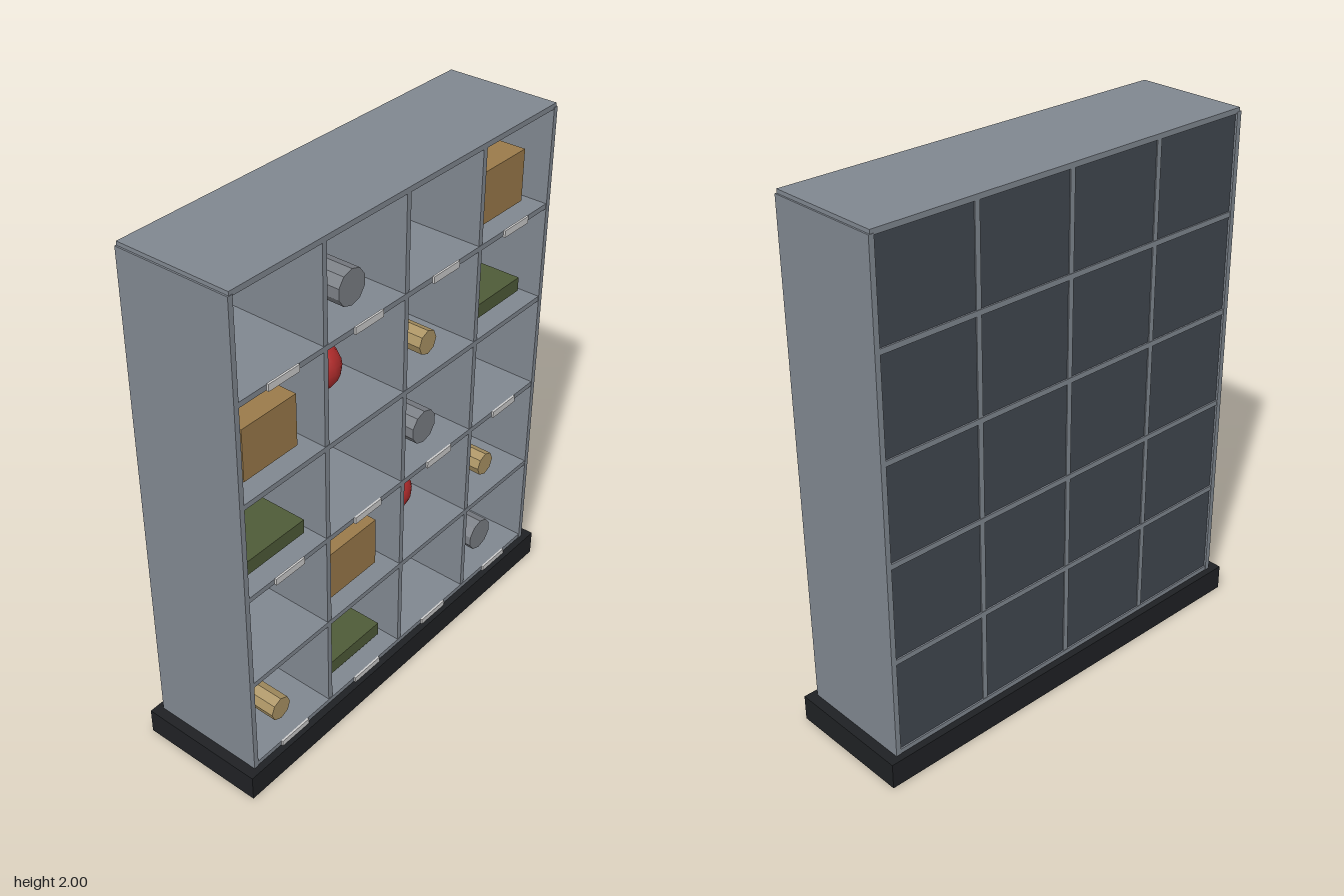
import * as THREE from 'three';

const COLS = 4, ROWS = 5;
const PITCH_X = 0.398, PITCH_Y = 0.377, FLOOR = 0.108;
const DEPTH = 0.44, BOARD = 0.02;

const mat = (color, flatShading = false) => new THREE.MeshStandardMaterial({ color, flatShading });
const steel = mat(0x808790), panel = mat(0x414750), plinth = mat(0x1f2124), label = mat(0xcdd1d1);
const card = mat(0x9a7a4a), red = mat(0xb32d2d), green = mat(0x4f5b38);
const wood = mat(0xab9464, true), pipe = mat(0x7b7f85, true);

const colX = c => (c - (COLS - 1) / 2) * PITCH_X;
const shelfY = r => FLOOR + r * PITCH_Y;

function add(parent, name, geometry, material, x, y, z) {
  const mesh = new THREE.Mesh(geometry, material);
  mesh.name = name;
  mesh.position.set(x, y, z);
  parent.add(mesh);
  return mesh;
}
const box = (w, h, d) => new THREE.BoxGeometry(w, h, d);
const rod = (r, sides, length) => new THREE.CylinderGeometry(r, r, length, sides).rotateX(Math.PI / 2);

// Stored goods: geometry, material and height of the centre above the shelf
const goods = {
  carton: [box(0.246, 0.197, 0.32), card, 0.127],
  ball: [new THREE.SphereGeometry(0.088, 16, 12), red, 0.12],
  log: [rod(0.047, 8, 0.32), wood, 0.077],
  slab: [box(0.3, 0.055, 0.31), green, 0.055],
  pipe: [rod(0.066, 10, 0.31), pipe, 0.098],
};

// Contents of each compartment, bottom row first
const contents = [
  ['log', 'slab', null, 'pipe'],
  [null, 'carton', 'ball', 'log'],
  ['slab', null, 'pipe', null],
  ['carton', 'ball', 'log', 'slab'],
  [null, 'pipe', null, 'carton'],
];

export function createModel() {
  const model = new THREE.Group();
  model.name = 'pigeonholeShelf';

  // Plinth
  add(model, 'plinth', box(1.69, 0.1, 0.494), plinth, 0, 0.05, 0);

  // Shelves, with the top board closing the cabinet
  for (let r = 0; r <= ROWS; r++) {
    const y = r === ROWS ? 1.99 : shelfY(r);
    add(model, r === ROWS ? 'topBoard' : 'shelf', box(1.6, BOARD, DEPTH), steel, 0, y, 0);
  }

  // Side walls and upright dividers
  for (let c = 0; c <= COLS; c++) {
    const side = c === 0 || c === COLS;
    const x = (c - COLS / 2) * PITCH_X;
    add(model, side ? 'sideWall' : 'divider', box(BOARD, 1.888, side ? DEPTH + 0.004 : DEPTH - 0.004),
      steel, x, 1.042, 0);
  }

  // Back panel, set in slightly from the rear edges
  add(model, 'backPanel', box(1.59, 1.88, 0.014), panel, 0, 1.045, -0.207);

  // Label holders on every second shelf
  for (let r = 0; r < ROWS; r += 2)
    for (let c = 0; c < COLS; c++)
      add(model, 'labelHolder', box(0.138, 0.026, 0.008), label, colX(c), shelfY(r), 0.224);

  // Goods
  contents.forEach((row, r) => row.forEach((name, c) => {
    if (!name) return;
    const [geometry, material, lift] = goods[name];
    add(model, name, geometry, material, colX(c), shelfY(r) + lift, 0);
  }));

  return model;
}
